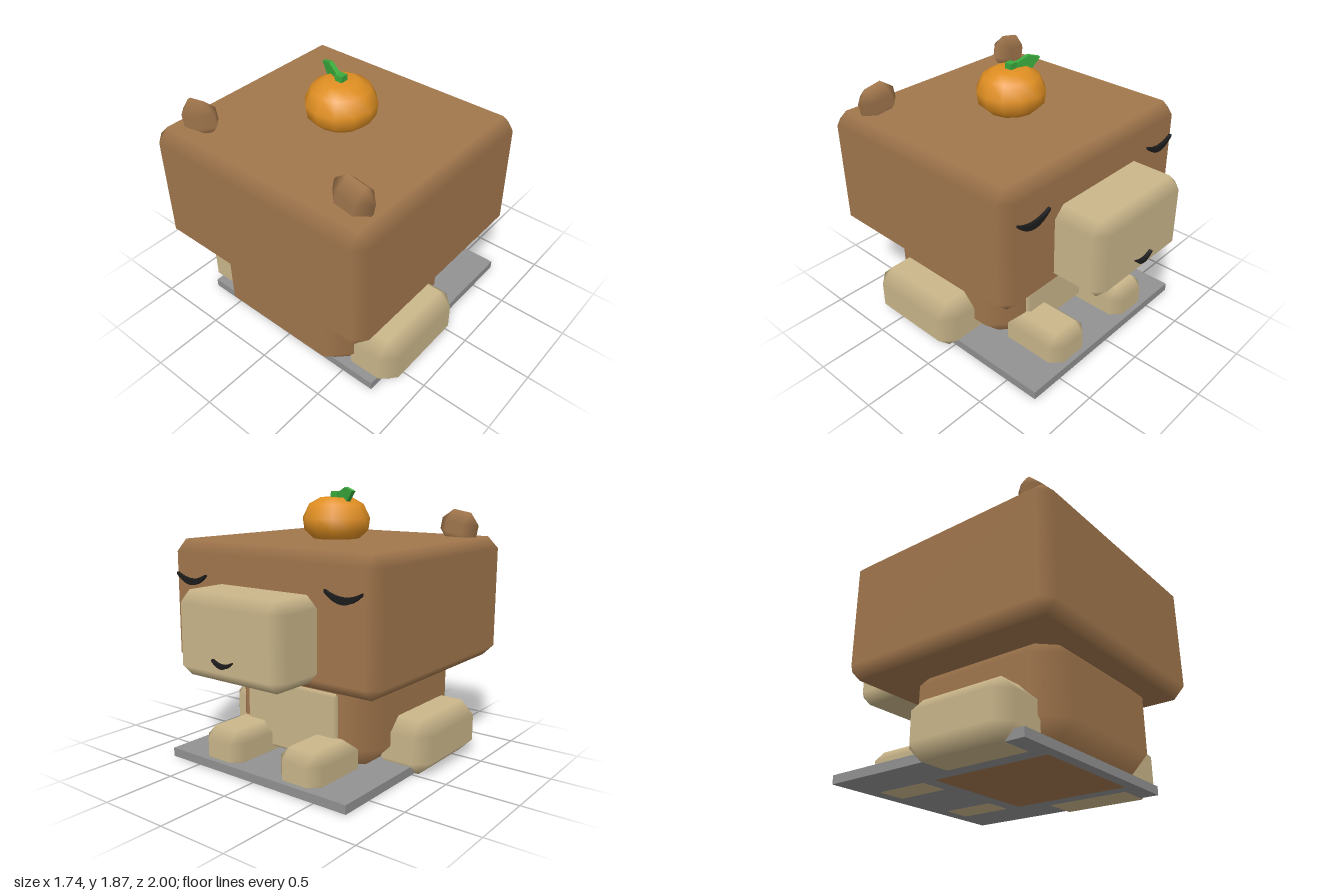
import * as THREE from 'three';

const mat = (name, color) => {
  const m = new THREE.MeshStandardMaterial({ color });
  m.name = name;
  return m;
};

// Box with one chamfer on each edge; the normals blend softly across the chamfers.
function chamferBox(w, h, d, c) {
  const half = [w / 2, h / 2, d / 2];
  const pos = [], nor = [], idx = [];
  // One vertex for each corner and each of the three faces meeting there
  for (let k = 0; k < 8; k++) {
    const s = [k & 1 ? 1 : -1, k & 2 ? 1 : -1, k & 4 ? 1 : -1];
    for (let a = 0; a < 3; a++) {
      for (let i = 0; i < 3; i++) {
        pos.push(s[i] * (half[i] - (i === a ? 0 : c)));
        nor.push(i === a ? s[i] : 0);
      }
    }
  }
  const at = (i) => new THREE.Vector3().fromArray(pos, i * 3);
  const tri = (i, j, k) => {
    const a = at(i), b = at(j), e = at(k);
    const n = b.clone().sub(a).cross(e.clone().sub(a));
    // The shape surrounds the origin, so outward faces point away from it
    if (n.dot(a.add(b).add(e)) > 0) idx.push(i, j, k);
    else idx.push(i, k, j);
  };
  const quad = (i, j, k, l) => { tri(i, j, k); tri(i, k, l); };
  for (let a = 0; a < 3; a++) {
    const b = (a + 1) % 3, e = (a + 2) % 3;
    const A = 1 << a, B = 1 << b, E = 1 << e;
    for (const base of [0, A]) // flat faces
      quad(base * 3 + a, (base | B) * 3 + a, (base | B | E) * 3 + a, (base | E) * 3 + a);
    for (const k of [0, B, E, B | E]) // edges running along axis a
      quad(k * 3 + b, (k | A) * 3 + b, (k | A) * 3 + e, k * 3 + e);
  }
  for (let k = 0; k < 8; k++) tri(k * 3, k * 3 + 1, k * 3 + 2); // corners
  const g = new THREE.BufferGeometry();
  g.setAttribute('position', new THREE.Float32BufferAttribute(pos, 3));
  g.setAttribute('normal', new THREE.Float32BufferAttribute(nor, 3));
  g.setIndex(idx);
  return g;
}

// Downward-curved crescent for closed eyes and mouth
function crescent(w, h, depth) {
  const s = new THREE.Shape();
  s.moveTo(-w / 2, h / 2);
  s.quadraticCurveTo(0, -h * 0.4, w / 2, h / 2);
  s.lineTo(w / 2, h * 0.3);
  s.quadraticCurveTo(0, -h * 1.3, -w / 2, h * 0.3);
  s.closePath();
  return new THREE.ExtrudeGeometry(s, { depth, bevelEnabled: false, curveSegments: 8 });
}

export function createModel() {
  const model = new THREE.Group();
  const brown = mat('brown fur', 0xa2774d);
  const tan = mat('tan fur', 0xcbb78b);
  const grey = mat('grey base', 0x929292);
  const orange = mat('orange peel', 0xe08f22);
  const green = mat('leaf green', 0x3aaa3c);
  const black = mat('black', 0x1c1c1c);

  const add = (name, geometry, material, x = 0, y = 0, z = 0) => {
    const m = new THREE.Mesh(geometry, material);
    m.name = name;
    m.position.set(x, y, z);
    model.add(m);
    return m;
  };
  // Chamfered box given by its lower and upper limits
  const block = (name, material, [x0, x1], [y0, y1], [z0, z1], c) =>
    add(name, chamferBox(x1 - x0, y1 - y0, z1 - z0, c), material,
      (x0 + x1) / 2, (y0 + y1) / 2, (z0 + z1) / 2);

  // Base plate
  add('basePlate', new THREE.BoxGeometry(1.5, 0.06, 1.5), grey, 0, 0.034, 0);

  // Body, belly, head and snout
  block('body', brown, [-0.61, 0.61], [0, 0.755], [-0.345, 0.855], 0.185);
  block('belly', tan, [-0.39, 0.39], [0.1, 0.57], [-0.37, -0.2], 0.02);
  block('head', brown, [-0.86, 0.86], [0.65, 1.52], [-0.62, 1], 0.08);
  block('snout', tan, [-0.435, 0.435], [0.7, 1.25], [-0.975, -0.45], 0.075);
  add('mouth', crescent(0.16, 0.05, 0.05), black, 0, 0.835, -1);

  // Paired parts
  for (const s of [-1, 1]) {
    const side = s > 0 ? 'left' : 'right';
    const span = (a, b) => (s > 0 ? [a, b] : [-b, -a]);
    block(side + 'HindLeg', tan, span(0.45, 0.87), [0, 0.375], [-0.06, 0.71], 0.095);
    block(side + 'FrontFoot', tan, span(0.16, 0.5), [0, 0.275], [-0.72, -0.2], 0.075);
    add(side + 'Eye', crescent(0.27, 0.08, 0.04), black, s * 0.635, 1.26, -0.642);
    const ear = add(side + 'Ear', chamferBox(0.28, 0.23, 0.17, 0.075), brown, s * 0.625, 1.587, 0.775);
    ear.rotation.z = -s * 0.18;
  }

  // Fruit on the head
  const profile = [[0, 1.5], [0.1, 1.5], [0.165, 1.52], [0.225, 1.575], [0.236, 1.66],
    [0.19, 1.755], [0.11, 1.8], [0, 1.8]].map(([x, y]) => new THREE.Vector2(x, y));
  add('fruit', new THREE.LatheGeometry(profile, 12), orange, 0, 0, 0.147);
  add('stem', new THREE.BoxGeometry(0.055, 0.07, 0.055), green, 0, 1.805, 0.147);

  // Upright leaf pointing sideways from the stem
  const outline = [[0, 1.79], [-0.03, 1.83], [-0.125, 1.87], [-0.21, 1.845], [-0.15, 1.775], [-0.07, 1.76]]
    .map(([x, y]) => new THREE.Vector2(x, y));
  const leafGeometry = new THREE.ExtrudeGeometry(new THREE.Shape(outline), { depth: 0.03, bevelEnabled: false });
  leafGeometry.translate(0, 0, -0.015);
  const leaf = add('leaf', leafGeometry, green, 0, 0, 0.147);
  leaf.rotation.y = -0.34;

  return model;
}
